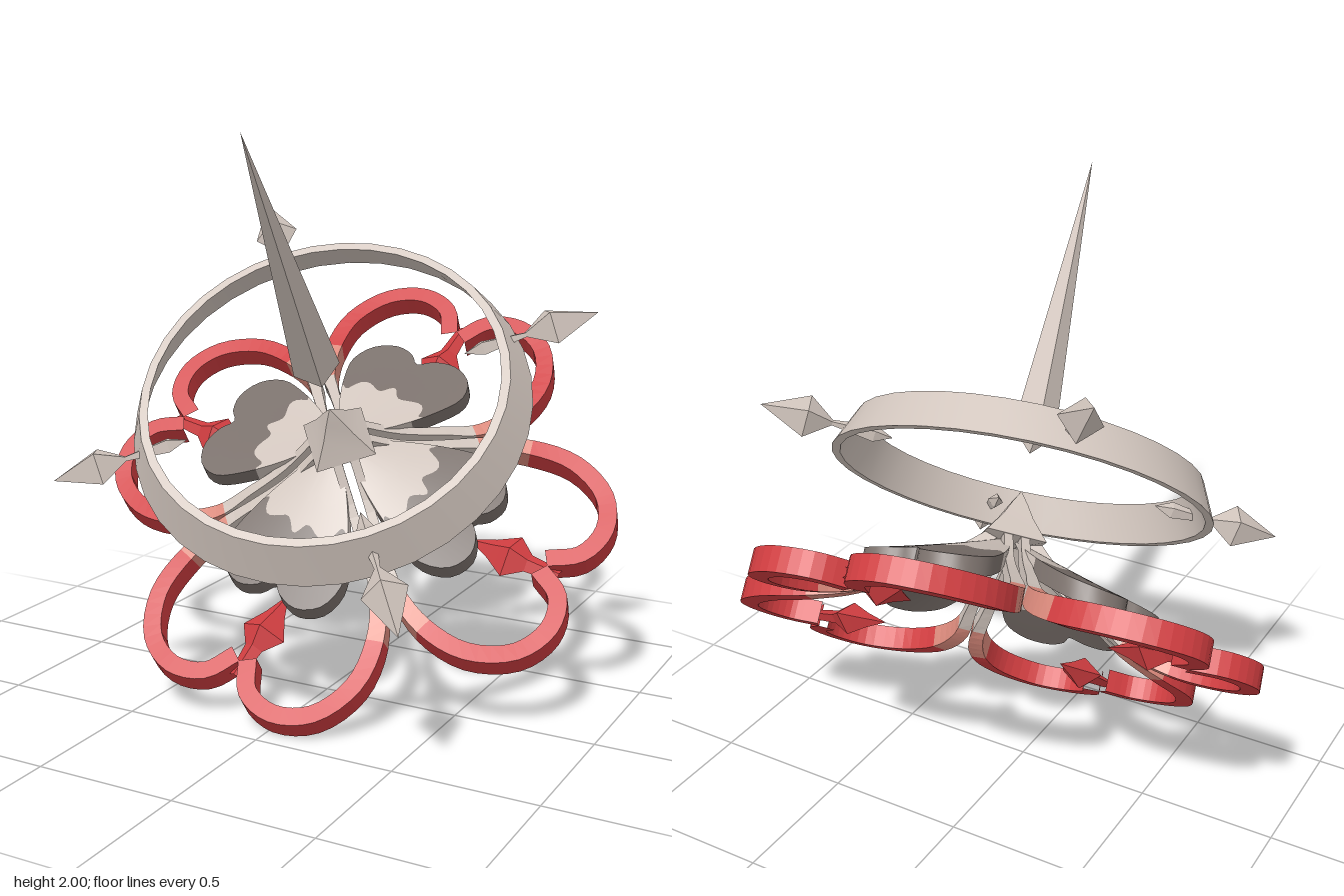
import * as THREE from 'three';
import { toCreasedNormals } from 'three/addons/utils/BufferGeometryUtils.js';

const mat = (name, color) => {
  const m = new THREE.MeshStandardMaterial({ color });
  m.name = name;
  return m;
};

const add = (parent, name, geometry, material) => {
  const mesh = new THREE.Mesh(geometry, material);
  mesh.name = name;
  parent.add(mesh);
  return mesh;
};

// Geometry from a list of quads (four Vector3 each, counter-clockwise)
function fromQuads(quads) {
  const pos = [];
  for (const [a, b, c, d] of quads) for (const p of [a, b, c, a, c, d]) pos.push(p.x, p.y, p.z);
  const g = new THREE.BufferGeometry();
  g.setAttribute('position', new THREE.Float32BufferAttribute(pos, 3));
  g.computeVertexNormals();
  return g;
}

// Lathe with hard edges; profile is [radius, height] from bottom to top
function lathe(profile, sides, crease = 0.3) {
  const g = new THREE.LatheGeometry(profile.map(([r, y]) => new THREE.Vector2(r, y)), sides);
  return toCreasedNormals(g, crease);
}

// Ribbon swept along sampled points, with a rectangular section that thickens outward
function ribbon(curve, from, to, steps) {
  const rings = [];
  for (let i = from; i <= to; i++) {
    const t = i / steps;
    const p = curve.getPoint(t);
    const tan = curve.getTangent(t);
    const side = new THREE.Vector3().crossVectors(tan, new THREE.Vector3(0, 1, 0)).normalize();
    const up = new THREE.Vector3().crossVectors(side, tan);
    const grow = THREE.MathUtils.smoothstep(t, 0.1, 0.5);
    const w = 0.016 + 0.016 * grow;
    const h = 0.02 + 0.022 * grow;
    rings.push([[-1, 1], [1, 1], [1, -1], [-1, -1]].map(([b, n]) =>
      p.clone().addScaledVector(side, b * w).addScaledVector(up, n * h)));
  }
  const quads = [];
  for (let i = 0; i + 1 < rings.length; i++) {
    for (let j = 0; j < 4; j++) {
      const k = (j + 1) % 4;
      quads.push([rings[i][j], rings[i][k], rings[i + 1][k], rings[i + 1][j]]);
    }
  }
  return fromQuads(quads);
}

// Heart outline of one petal: x across, y holds the distance outward
function petalOutline() {
  const half = [[0.02, 0.03], [0.12, 0.17], [0.2, 0.32], [0.233, 0.43], [0.2, 0.52], [0.12, 0.56], [0.045, 0.54]];
  const pts = [
    ...half.map(([x, d]) => new THREE.Vector3(-x, d, 0)),
    new THREE.Vector3(0, 0.5, 0),
    ...half.map(([x, d]) => new THREE.Vector3(x, d, 0)).reverse(),
  ];
  return new THREE.CatmullRomCurve3(pts).getPoints(42);
}

// Sloping petal slab between two scaled copies of the outline
function petalPart(outline, inner, outer) {
  const at = (p, s, drop) => {
    const r = p.length() * s;
    const y = -0.05 - 0.4 * r + 0.08 * r * r - drop * Math.min(1, r / 0.3);
    return new THREE.Vector3(p.x * s, y, p.y * s);
  };
  const quads = [];
  const T = 0.065;
  const N = 3;
  for (let i = 0; i + 1 < outline.length; i++) {
    const p = outline[i], q = outline[i + 1];
    const a = inner(p, i), b = outer(p, i), c = outer(q, i + 1), d = inner(q, i + 1);
    const { lerp } = THREE.MathUtils;
    for (let k = 0; k < N; k++) {
      const a1 = lerp(a, b, k / N), b1 = lerp(a, b, (k + 1) / N);
      const d1 = lerp(d, c, k / N), c1 = lerp(d, c, (k + 1) / N);
      quads.push([at(p, a1, 0), at(p, b1, 0), at(q, c1, 0), at(q, d1, 0)]);
      quads.push([at(q, d1, T), at(q, c1, T), at(p, b1, T), at(p, a1, T)]);
    }
    // Rim wall, only where this part reaches the outline
    if (b === 1 && c === 1) quads.push([at(p, b, 0), at(p, b, T), at(q, c, T), at(q, c, 0)]);
  }
  return toCreasedNormals(fromQuads(quads), 0.6);
}

export function createModel() {
  const stone = mat('pale stone', 0xd2c6be);
  const dark = mat('dark petal grey', 0x7b716c);
  const red = mat('red', 0xcf3d40);
  const salmon = mat('salmon', 0xdb8a7c);

  const model = new THREE.Group();
  model.name = 'tiltedBloom';

  // Tilted frame: local y is the flower's axis
  const bloom = new THREE.Group();
  bloom.name = 'bloom';
  const axis = new THREE.Vector3(0.14, 0.737, 0.661).normalize();
  const ez = new THREE.Vector3(0.815, 0.286, -0.503).cross(axis).normalize();
  const ex = new THREE.Vector3().crossVectors(axis, ez);
  bloom.quaternion.setFromRotationMatrix(new THREE.Matrix4().makeBasis(ex, axis, ez));
  bloom.position.set(0.045, 0.97, 0.02);
  model.add(bloom);

  // Flared ring
  add(bloom, 'ring', lathe([[0.685, -0.07], [0.625, 0.07], [0.595, 0.07], [0.655, -0.07], [0.685, -0.07]], 36, 0.5), stone)
    .position.y = 0.19;

  // Long spike floating above the middle
  add(bloom, 'spike', lathe([[0, 0.26], [0.078, 0.34], [0, 1.405]], 4), stone);

  // Pointed cap over the middle
  add(bloom, 'cap', lathe([[0, -0.09], [0.15, -0.06], [0.075, 0.02], [0.04, 0.07], [0, 0.12]], 4, 0.8), stone)
    .rotation.y = Math.PI / 4;

  // Four arrows piercing the ring
  const arrow = lathe([[0, 0.485], [0.03, 0.55], [0.01, 0.7], [0.076, 0.79], [0, 0.953]], 4);
  arrow.rotateX(Math.PI / 2);
  for (let i = 0; i < 4; i++) {
    const m = add(bloom, 'ringArrow', arrow, stone);
    m.position.y = 0.19;
    m.rotation.y = i * Math.PI / 2;
  }

  // Shared petal geometry: pale middle and darker rim, parted by a wavy line
  const outline = petalOutline();
  const split = (p, i) => Math.min(1, (0.32 + 0.02 * Math.sin(i * 0.7)) / p.length());
  const petalInner = petalPart(outline, () => 0, split);
  const petalOuter = petalPart(outline, split, () => 1);

  // Shared barb in the notch of each loop
  const barb = lathe([[0, 0.47], [0.04, 0.56], [0.085, 0.635], [0.035, 0.7], [0.025, 0.82]], 4);
  barb.rotateX(Math.PI / 2);
  barb.scale(1, 0.7, 1);

  // Half of a heart-shaped loop: [across, height, outward]
  const path = [
    [0.014, -0.04, 0.057], [0.12, -0.17, 0.163], [0.233, -0.26, 0.276], [0.325, -0.33, 0.37], [0.395, -0.37, 0.51],
    [0.41, -0.39, 0.68], [0.335, -0.4, 0.83], [0.21, -0.4, 0.89], [0.09, -0.4, 0.86], [0.025, -0.4, 0.76],
  ];
  const steps = 36;
  const sides = [-1, 1].map((s) => {
    const curve = new THREE.CatmullRomCurve3(path.map(([x, y, d]) => new THREE.Vector3(s * x, y, d)));
    return {
      stem: ribbon(curve, 0, 11, steps),
      band: ribbon(curve, 11, 16, steps),
      lobe: ribbon(curve, 16, steps, steps),
    };
  });

  // Four petals, each with its loop
  for (let i = 0; i < 4; i++) {
    const g = new THREE.Group();
    g.name = 'petalAndLoop';
    g.rotation.y = Math.PI / 4 + i * Math.PI / 2;
    bloom.add(g);
    add(g, 'petalCentre', petalInner, stone);
    add(g, 'petalRim', petalOuter, dark);
    for (const s of sides) {
      add(g, 'loopStem', s.stem, stone);
      add(g, 'loopBand', s.band, salmon);
      add(g, 'loopLobe', s.lobe, red);
    }
    add(g, 'loopBarb', barb, red).position.y = -0.4;
  }
  return model;
}
